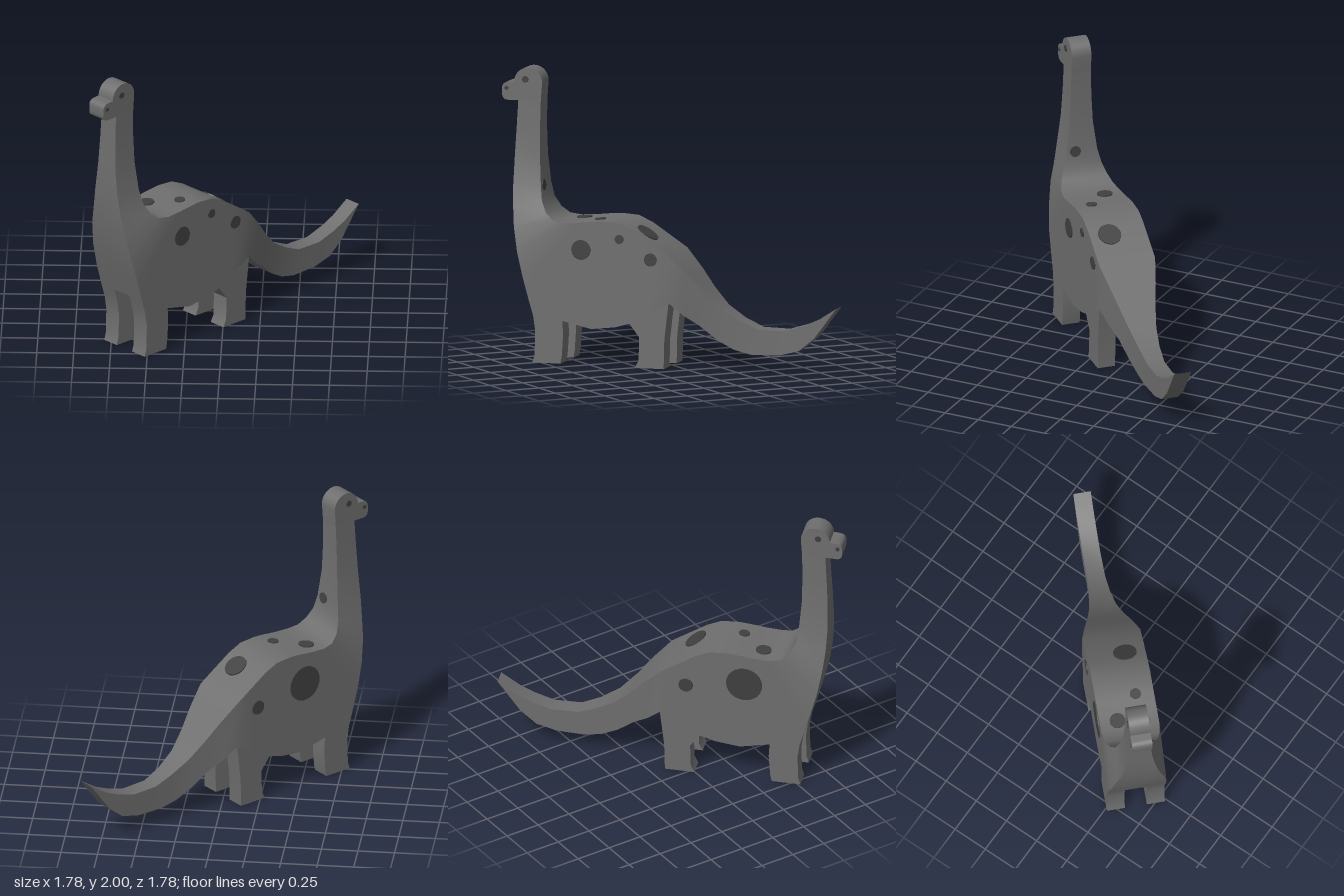
import * as THREE from 'three';
import { toCreasedNormals } from 'three/addons/utils/BufferGeometryUtils.js';

const skin = new THREE.MeshStandardMaterial({ color: 0x6e6e6e });
skin.name = 'skin grey';
const dark = new THREE.MeshStandardMaterial({ color: 0x404040 });
dark.name = 'spot grey';

// Side stations from neck to tail tip: [under x, under y, upper x, upper y, half width]
const STATIONS = [
  [-1.075, 1.78, -0.914, 1.78, 0.07],
  [-1.085, 1.6, -0.918, 1.6, 0.074],
  [-1.095, 1.4, -0.915, 1.4, 0.084],
  [-1.098, 1.2, -0.9, 1.2, 0.11],
  [-1.09, 1.05, -0.884, 1.1, 0.135],
  [-1.075, 0.92, -0.845, 1.025, 0.165],
  [-1.045, 0.75, -0.79, 0.98, 0.187],
  [-1.0, 0.58, -0.71, 0.968, 0.2],
  [-0.955, 0.42, -0.6, 0.975, 0.2],
  [-0.716, 0.295, -0.5, 0.987, 0.2],
  [-0.51, 0.25, -0.42, 0.993, 0.2],
  [-0.34, 0.27, -0.3, 0.985, 0.2],
  [-0.235, 0.3, -0.2, 0.94, 0.2],
  [-0.1, 0.375, -0.08, 0.862, 0.2],
  [0.045, 0.455, 0.045, 0.78, 0.2],
  [0.137, 0.37, 0.165, 0.655, 0.163],
  [0.24, 0.3, 0.27, 0.53, 0.125],
  [0.36, 0.2, 0.38, 0.42, 0.093],
  [0.47, 0.138, 0.51, 0.34, 0.072],
  [0.59, 0.108, 0.64, 0.285, 0.062],
  [0.79, 0.113, 0.83, 0.282, 0.06],
  [0.93, 0.15, 0.97, 0.325, 0.06],
  [1.04, 0.24, 1.07, 0.37, 0.06],
  [1.2, 0.455, 1.2, 0.455, 0.06],
];

// Four-cornered cross-sections joined into one skin
function loftGeometry() {
  const pos = [], index = [];
  for (const [ux, uy, tx, ty, w] of STATIONS) pos.push(ux, uy, w, tx, ty, w, tx, ty, -w, ux, uy, -w);
  for (let i = 0; i < STATIONS.length - 1; i++) {
    for (let k = 0; k < 4; k++) {
      const a = i * 4 + k, b = i * 4 + ((k + 1) % 4);
      index.push(a, a + 4, b + 4, a, b + 4, b);
    }
  }
  const geo = new THREE.BufferGeometry();
  geo.setAttribute('position', new THREE.Float32BufferAttribute(pos, 3));
  geo.setIndex(index);
  return toCreasedNormals(geo, 0.6);
}

// Side outline given thickness between two z values
function slab(shape, z0, z1) {
  const geo = new THREE.ExtrudeGeometry(shape, { depth: z1 - z0, bevelEnabled: false, curveSegments: 16 });
  geo.translate(0, 0, z0);
  return toCreasedNormals(geo, 0.6);
}

const outline = (pts) => new THREE.Shape(pts.map(([x, y]) => new THREE.Vector2(x, y)));

export function createModel() {
  const model = new THREE.Group();
  model.name = 'longNeckedDinosaur';
  const body = new THREE.Group();
  body.name = 'dinosaur';
  body.rotation.y = Math.PI / 4;
  model.add(body);

  const add = (name, geo, mat) => {
    const mesh = new THREE.Mesh(geo, mat);
    mesh.name = name;
    body.add(mesh);
    return mesh;
  };

  add('neckBodyTail', loftGeometry(), skin);

  // Head: round crown and blunt snout
  const head = new THREE.Shape();
  head.moveTo(-1.075, 1.775);
  head.lineTo(-0.914, 1.775);
  head.lineTo(-0.905, 1.9);
  head.absarc(-1.005, 1.9, 0.1, 0, Math.PI, false);
  head.lineTo(-1.145, 1.897);
  head.quadraticCurveTo(-1.192, 1.895, -1.192, 1.85);
  head.lineTo(-1.192, 1.82);
  head.quadraticCurveTo(-1.192, 1.773, -1.15, 1.773);
  add('head', slab(head, -0.07, 0.07), skin);

  // Legs, mirrored across the body
  const legs = {
    frontLeg: [[-0.93, 0], [-0.73, 0], [-0.72, 0.05], [-0.71, 0.2], [-0.716, 0.295],
      [-0.955, 0.42], [-0.925, 0.32], [-0.91, 0.22], [-0.915, 0.05]],
    rearLeg: [[-0.195, 0], [0.01, 0], [0.015, 0.2], [0.045, 0.455],
      [-0.235, 0.3], [-0.165, 0.21], [-0.17, 0.05]],
  };
  for (const [name, pts] of Object.entries(legs)) {
    add(name + 'Left', slab(outline(pts), 0.075, 0.2), skin);
    add(name + 'Right', slab(outline(pts), -0.2, -0.075), skin);
  }

  // Thin round plates, turned to lie on the given surface normal
  const up = new THREE.Vector3(0, 1, 0);
  const disc = (name, r, p, n) => {
    const mesh = add(name, new THREE.CylinderGeometry(r, r, 0.009, 24), dark);
    const normal = new THREE.Vector3(...n).normalize();
    mesh.quaternion.setFromUnitVectors(up, normal);
    mesh.position.set(...p).addScaledVector(normal, 0.002);
  };

  // Eyes and nostrils
  for (const s of [1, -1]) {
    disc('eye', 0.022, [-1.025, 1.92, s * 0.07], [0, 0, s]);
    disc('nostril', 0.014, [-1.16, 1.855, s * 0.07], [0, 0, s]);
  }

  // Flank spots: [x, y, radius, side]
  const flank = [
    [-0.582, 0.79, 0.068, 1], [-0.308, 0.876, 0.031, 1], [-0.085, 0.746, 0.045, 1],
    [-0.54, 0.76, 0.125, -1], [-0.135, 0.7, 0.05, -1],
  ];
  for (const [x, y, r, s] of flank) disc('flankSpot', r, [x, y, s * 0.2], [0, 0, s]);

  // Spots along the back and the nape
  disc('backSpot', 0.08, [-0.15, 0.909, 0.06], [0.54, 0.84, 0]);
  disc('backSpot', 0.053, [-0.65, 0.973, -0.078], [-0.06, 1, 0]);
  disc('backSpot', 0.037, [-0.484, 0.989, 0.074], [-0.08, 1, 0]);
  disc('neckSpot', 0.038, [-0.902, 1.2, 0.047], [1, 0.1, 0]);

  return model;
}
